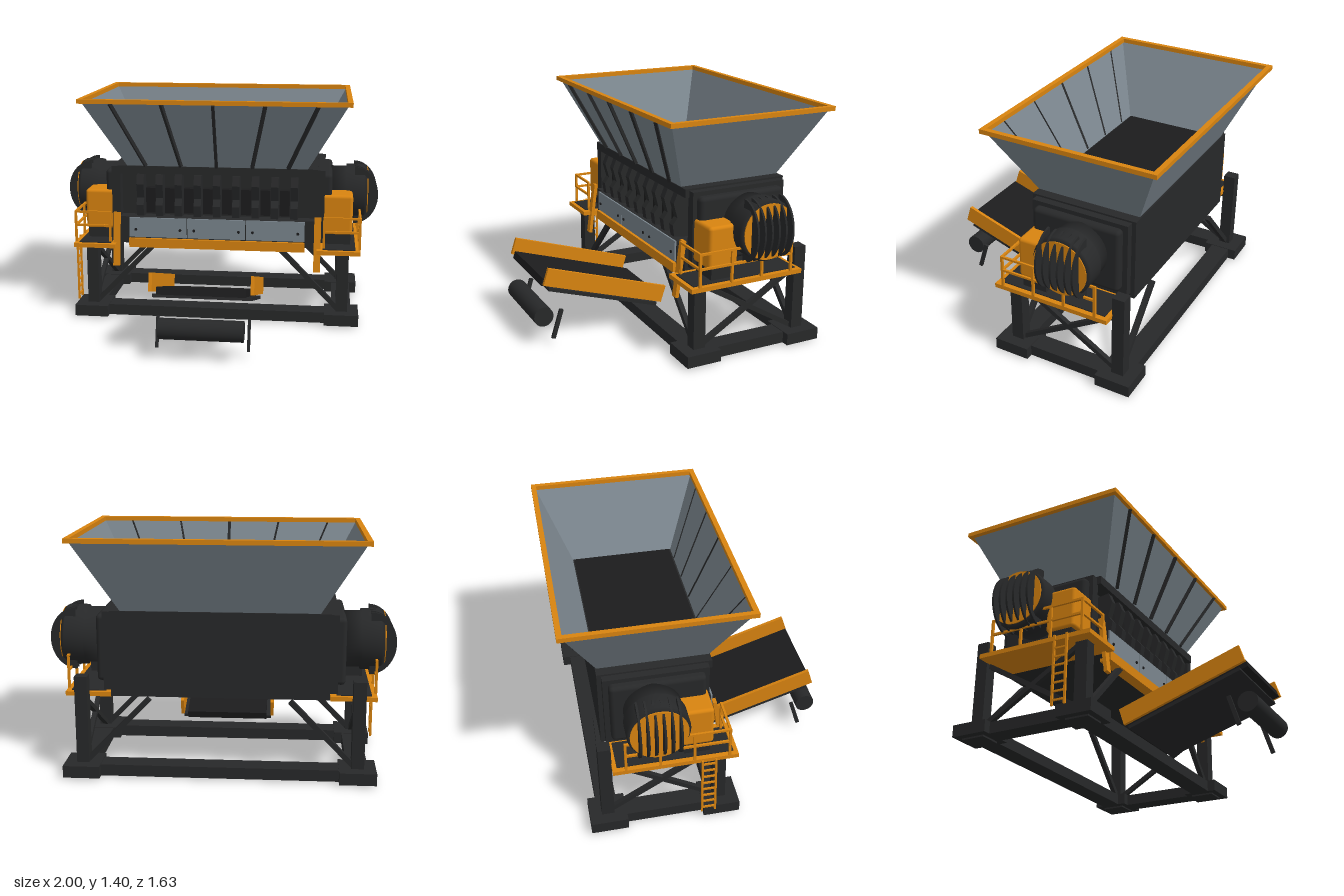
import * as THREE from 'three';
import { RoundedBoxGeometry } from 'three/addons/geometries/RoundedBoxGeometry.js';

const mat = (name, color, side = THREE.FrontSide) => {
  const m = new THREE.MeshStandardMaterial({ color, side });
  m.name = name;
  return m;
};

export function createModel() {
  const model = new THREE.Group();
  model.name = 'industrialShredder';
  const orange = mat('orange paint', 0xd98410);
  const grey = mat('grey steel', 0x7b868e, THREE.DoubleSide);
  const dark = mat('dark steel', 0x272829);
  const black = mat('black rubber', 0x1c1c1d);

  const add = (name, geo, m, parent = model) => {
    const mesh = new THREE.Mesh(geo, m);
    mesh.name = name;
    parent.add(mesh);
    return mesh;
  };
  // Box given by its limits on each axis, optionally with rounded edges
  const box = (name, m, x0, x1, y0, y1, z0, z1, r = 0, parent = model) => {
    const s = [Math.abs(x1 - x0), y1 - y0, Math.abs(z1 - z0)];
    const geo = r ? new RoundedBoxGeometry(...s, 2, r) : new THREE.BoxGeometry(...s);
    const mesh = add(name, geo, m, parent);
    mesh.position.set((x0 + x1) / 2, (y0 + y1) / 2, (z0 + z1) / 2);
    return mesh;
  };
  // Straight bar of section w by h between two points
  const bar = (name, m, a, b, w, h = w, parent = model) => {
    const A = new THREE.Vector3(...a), B = new THREE.Vector3(...b);
    const mesh = add(name, new THREE.BoxGeometry(w, h, A.distanceTo(B)), m, parent);
    mesh.position.copy(A).add(B).multiplyScalar(0.5);
    mesh.lookAt(B);
    return mesh;
  };

  // Base rails running across
  for (const z of [0.045, -0.62]) box('crossRail', dark, -0.8, 0.8, 0.01, 0.077, z - 0.06, z + 0.06);

  // Shredding chamber: back block plus a front frame around the opening
  box('chamber', dark, -0.62, 0.62, 0.47, 0.965, -0.615, -0.05);
  box('chamberTopBeam', dark, -0.62, 0.62, 0.915, 0.965, -0.05, 0.035);
  box('chamberLowerFront', dark, -0.62, 0.62, 0.47, 0.64, -0.05, 0.035);
  box('frontPanelBacking', dark, -0.55, 0.55, 0.5, 0.64, 0.035, 0.05);
  for (let i = -1; i <= 1; i++) {
    box('frontPanel', grey, i * 0.367 - 0.181, i * 0.367 + 0.181, 0.515, 0.64, 0.05, 0.06);
    for (const s of [-1, 1]) {
      const bolt = add('panelBolt', new THREE.CylinderGeometry(0.009, 0.009, 0.008, 8), black);
      bolt.rotation.x = Math.PI / 2;
      bolt.position.set(i * 0.367 + s * 0.14, 0.565, 0.062);
    }
  }
  box('frontSill', orange, -0.55, 0.55, 0.45, 0.508, 0.0, 0.07);

  // Hooked cutter teeth in the opening
  const hook = new THREE.Shape([[-0.05, 0.9], [0.02, 0.91], [0.045, 0.85], [0.02, 0.76], [0.05, 0.72],
    [0.04, 0.65], [-0.05, 0.64]].map(p => new THREE.Vector2(...p)));
  const hookGeo = new THREE.ExtrudeGeometry(hook, { depth: 0.045, bevelEnabled: false });
  for (let i = 0; i < 9; i++) {
    const x = -0.48 + i * 0.12;
    const tooth = add('cutterTooth', hookGeo, dark);
    tooth.rotation.y = -Math.PI / 2;
    tooth.scale.z = -1;
    // Mirrored on z so that the profile's outward side faces the front
    tooth.rotation.y = -Math.PI / 2;
    tooth.scale.set(1, 1, 1);
    tooth.position.set(x + 0.0225, 0, 0);
    if (i < 8) box('cutterSpacer', black, x + 0.03, x + 0.09, 0.66, 0.82, -0.05, 0.0);
  }

  // Hopper: four sloping walls joining two rectangles
  const ring = (x, y, z0, z1) => [[-x, y, z1], [x, y, z1], [x, y, z0], [-x, y, z0]];
  const low = ring(0.56, 0.965, -0.607, 0.03), high = ring(0.79, 1.375, -0.79, 0.215);
  const wall = [];
  for (let i = 0; i < 4; i++) {
    const j = (i + 1) % 4;
    wall.push(...low[i], ...low[j], ...high[j], ...low[i], ...high[j], ...high[i]);
  }
  const hopper = new THREE.BufferGeometry();
  hopper.setAttribute('position', new THREE.Float32BufferAttribute(wall, 3));
  hopper.computeVertexNormals();
  add('hopper', hopper, grey);
  box('hopperFloor', black, -0.555, 0.555, 0.962, 0.97, -0.6, 0.02);

  // Hopper rim and front ribs
  for (const s of [-1, 1]) box('rimSide', orange, s * 0.785, s * 0.815, 1.37, 1.396, -0.815, 0.235);
  box('rimFront', orange, -0.815, 0.815, 1.37, 1.396, 0.205, 0.235);
  box('rimBack', orange, -0.815, 0.815, 1.37, 1.396, -0.815, -0.785);
  for (let i = -2; i <= 2; i++)
    bar('hopperRib', dark, [i * 0.22, 0.967, 0.04], [i * 0.308, 1.37, 0.222], 0.018, 0.02);

  // Motor profile (radius, distance outwards) and cage bar outline
  const motorProfile = [[0, 0.69], [0.165, 0.69], [0.165, 0.8], [0.178, 0.8], [0.178, 0.91], [0.165, 0.93], [0, 0.93]];
  const motorGeo = new THREE.LatheGeometry(motorProfile.map(p => new THREE.Vector2(...p)), 40);
  const cage = new THREE.Shape();
  cage.absellipse(0.85, 0, 0.15, 0.182, -Math.PI / 2, Math.PI / 2, false);
  const cageGeo = new THREE.ExtrudeGeometry(cage, { depth: 0.012, bevelEnabled: false, curveSegments: 16 });

  for (const s of [-1, 1]) {
    const side = new THREE.Group();
    side.name = s > 0 ? 'leftSide' : 'rightSide';
    model.add(side);
    const b = (name, m, x0, x1, ...rest) => {
      const r = rest.length > 4 ? rest[4] : 0;
      return box(name, m, s * x0, s * x1, ...rest.slice(0, 4), r, side);
    };
    const l = (name, m, p, q, w, h = w) => bar(name, m, [s * p[0], p[1], p[2]], [s * q[0], q[1], q[2]], w, h, side);

    // Base, feet, posts and braces
    b('sideRail', dark, 0.725, 0.845, 0.01, 0.077, -0.7, 0.12);
    for (const z of [0.045, -0.62]) {
      b('foot', dark, 0.68, 0.89, 0.01, 0.08, z - 0.108, z + 0.108);
      b('footPad', dark, 0.72, 0.85, 0, 0.012, z - 0.07, z + 0.07);
      l('diagonalBrace', dark, [0.77, 0.08, z], [0.4, 0.46, z], 0.03);
    }
    b('frontPost', dark, 0.75, 0.822, 0.07, 0.46, 0.005, 0.08);
    b('rearPost', dark, 0.75, 0.822, 0.07, 0.59, -0.657, -0.583);
    l('crossBrace', dark, [0.785, 0.45, 0.01], [0.785, 0.09, -0.59], 0.028);
    l('crossBrace', dark, [0.785, 0.09, 0.01], [0.785, 0.45, -0.59], 0.028);

    // Bearing housing
    b('bearingHousing', dark, 0.61, 0.665, 0.5, 0.955, -0.59, 0.01);
    b('bearingCover', dark, 0.64, 0.71, 0.54, 0.93, -0.56, -0.015, 0.025);

    // Motor with orange end disc and cage
    const motor = new THREE.Group();
    motor.name = 'motor';
    motor.position.set(0, 0.76, -0.325);
    motor.rotation.y = s > 0 ? 0 : Math.PI;
    side.add(motor);
    const body = add('motorBody', motorGeo, dark, motor);
    body.rotation.z = -Math.PI / 2;
    const disc = add('motorEndDisc', new THREE.CylinderGeometry(0.163, 0.163, 0.006, 40), orange, motor);
    disc.rotation.z = Math.PI / 2;
    disc.position.x = 0.933;
    for (let i = 0; i < 6; i++)
      add('cageBar', cageGeo, dark, motor).position.z = (i - 2.5) * 0.045 - 0.006;

    // Control cabinet
    b('cabinet', orange, 0.645, 0.84, 0.55, 0.8, -0.185, 0.0, 0.02);
    b('cabinetBase', dark, 0.66, 0.83, 0.48, 0.55, -0.17, -0.02);

    // Walkway deck and railing
    b('deck', orange, 0.625, 0.89, 0.456, 0.482, -0.585, 0.135);
    b('deckTread', dark, 0.66, 0.86, 0.48, 0.487, -0.56, 0.11);
    for (const z of [0.082, -0.12, -0.315, -0.51]) b('railPost', orange, 0.878, 0.892, 0.48, 0.68, z - 0.007, z + 0.007);
    b('railPost', orange, 0.66, 0.674, 0.48, 0.68, 0.075, 0.089);
    for (const y of [0.588, 0.674]) {
      l('sideRailing', orange, [0.885, y, 0.089], [0.885, y, -0.517], 0.013);
      l('frontRailing', orange, [0.66, y, 0.082], [0.885, y, 0.082], 0.013);
    }
    // Slanted plate beside the front opening
    l('frontGuard', orange, [0.627, 0.67, 0.05], [0.627, 0.335, 0.095], 0.042, 0.022);

    // Conveyor side panel and roller bracket
    l('conveyorSide', orange, [0.285, 0.45, 0.755], [0.285, 0.205, 0.0], 0.02, 0.105);
    l('rollerBracket', dark, [0.262, 0.22, 0.655], [0.262, 0.045, 0.71], 0.016, 0.024);
  }

  // Access ladder on the right side
  for (const z of [0.0, -0.078]) bar('ladderRail', orange, [-0.903, 0.07, z], [-0.903, 0.48, z], 0.012);
  for (let i = 0; i < 8; i++)
    bar('ladderRung', orange, [-0.903, 0.1 + i * 0.05, 0], [-0.903, 0.1 + i * 0.05, -0.078], 0.01);

  // Discharge conveyor
  bar('conveyorBelt', black, [0, 0.405, 0.765], [0, 0.158, 0.0], 0.5, 0.045);
  bar('conveyorBed', dark, [0, 0.365, 0.735], [0, 0.14, 0.04], 0.56, 0.02);
  const roller = add('conveyorRoller', new THREE.CylinderGeometry(0.06, 0.06, 0.48, 28), dark);
  roller.rotation.z = Math.PI / 2;
  roller.position.set(0, 0.18, 0.757);

  return model;
}
